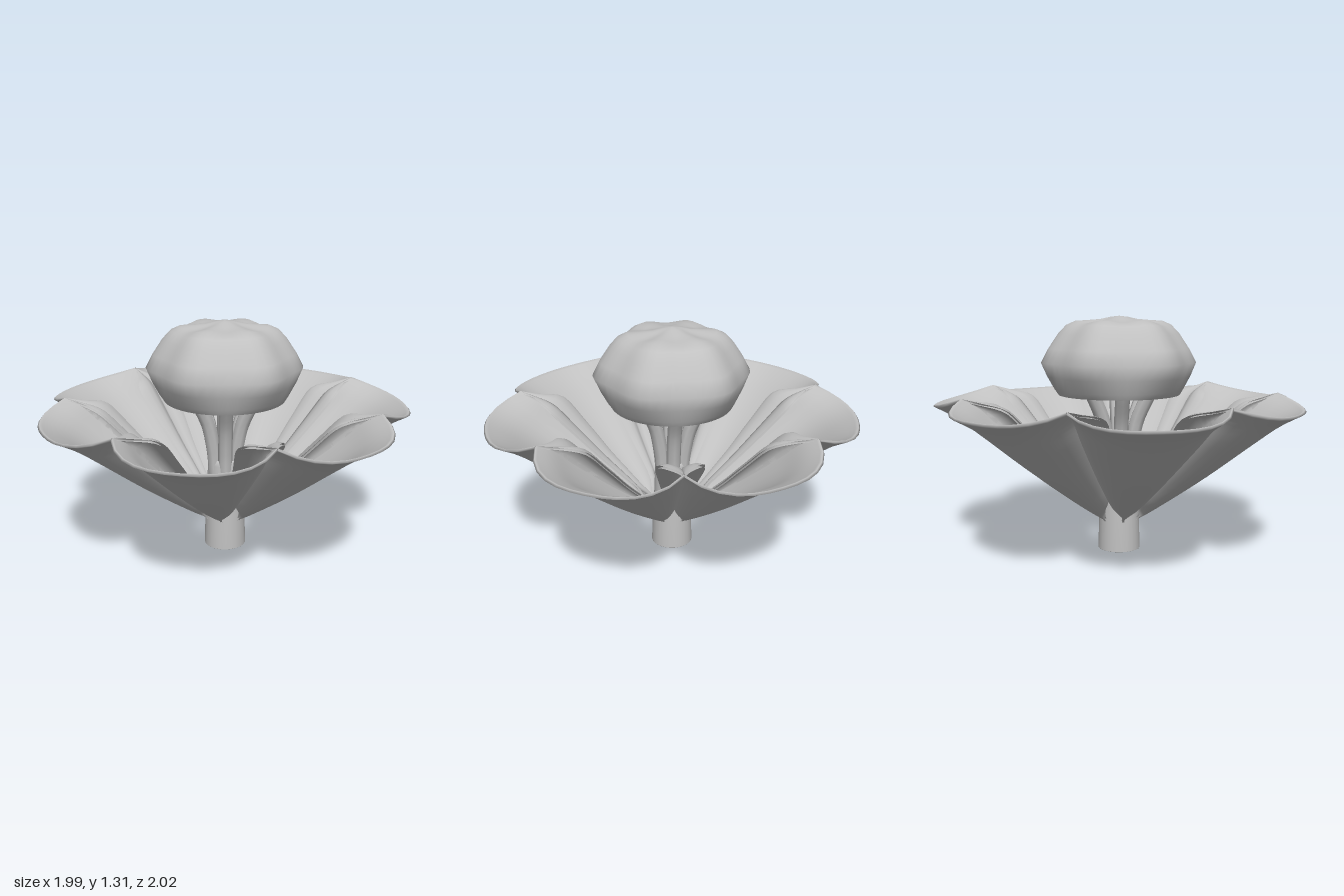
import * as THREE from 'three';

const PETALS = 7;
const HALF = Math.PI / PETALS;
const V2 = (a) => a.map(([r, y]) => new THREE.Vector2(r, y));

// Smooth surface from a grid of points; closed joins the last column to the first
function grid(cols, rows, closed, point) {
  const pos = [], index = [], n = closed ? cols : cols + 1;
  for (let j = 0; j <= rows; j++)
    for (let i = 0; i < n; i++) pos.push(...point(i, j));
  for (let j = 0; j < rows; j++)
    for (let i = 0; i < cols; i++) {
      const a = j * n + i, b = j * n + ((i + 1) % n), c = a + n, d = b + n;
      index.push(a, c, b, b, c, d);
    }
  const g = new THREE.BufferGeometry();
  g.setAttribute('position', new THREE.Float32BufferAttribute(pos, 3));
  g.setIndex(index);
  g.computeVertexNormals();
  return g;
}

// Profiles (radius, height) of a petal along its middle and along its seam
const middle = new THREE.SplineCurve(V2([[0.11, 0.17], [0.23, 0.248], [0.5, 0.442], [0.75, 0.64], [0.9, 0.755], [1.018, 0.822]]));
const seam = new THREE.SplineCurve(V2([[0.12, 0.17], [0.2, 0.29], [0.45, 0.505], [0.67, 0.705], [0.79, 0.825], [0.885, 0.88]]));
// Size of the inward-curled edge along the petal
const curlSize = new THREE.SplineCurve(V2([[0, 0], [0.2, 0.2], [0.4, 0.5], [0.6, 0.85], [0.8, 1], [0.93, 0.3], [1, 0]]));
// Curl cross-section: (offset towards the petal middle, lift off the petal)
const curl = [[0, 0.035], [0.005, 0.065], [0.04, 0.08], [0.08, 0.09], [0.115, 0.08]];
const THICKNESS = 0.013;

// Outer skin from foot to rim, then back down as the inner skin
function petalGeometry() {
  const body = 12, k = curl.length, steps = 24;
  return grid(body + 2 * k, 2 * steps + 1, false, (i, j) => {
    const inner = j > steps;
    const v = (inner ? 2 * steps + 1 - j : j) / steps;
    const c = i - k;
    const s = THREE.MathUtils.clamp((c / body) * 2 - 1, -1, 1);
    const p = middle.getPoint(v).lerp(seam.getPoint(v), Math.abs(s) ** 3);
    // Narrow claw at the foot, opening quickly to full width
    const width = 0.12 + 0.88 * THREE.MathUtils.smoothstep(v, 0.07, 0.24);
    const angle = s * HALF * 0.998 * width;
    const step = c < 0 ? -c : c - body;
    let side = 0, rise = inner ? THICKNESS : 0;
    if (step > 0) {
      const [offset, lift] = curl[step - 1];
      const size = Math.max(0, curlSize.getPoint(v).y);
      rise += lift * size;
      side = -Math.sign(s) * offset * size;
    }
    p.x -= rise * 0.67;
    p.y += rise * 0.74;
    return [
      p.x * Math.cos(angle) - side * Math.sin(angle),
      p.y,
      p.x * Math.sin(angle) + side * Math.cos(angle),
    ];
  });
}

// Rounded head, round below and six-sided above: radius, height, bump, flattening
function headGeometry() {
  const rings = [
    [0, 0.88, 0, 0], [0.335, 0.88, 0, 0], [0.337, 0.88, 0, 0], [0.358, 0.91, 0, 0.01],
    [0.397, 0.98, 0, 0.025], [0.43, 1.055, 0, 0.045], [0.39, 1.13, 0, 0.045],
    [0.335, 1.21, 0.002, 0.045], [0.29, 1.255, 0.004, 0.045], [0.24, 1.274, 0.007, 0.03],
    [0.17, 1.278, 0.007, 0.02], [0.1, 1.288, 0.003, 0], [0.05, 1.302, 0, 0], [0, 1.308, 0, 0],
  ];
  return grid(48, rings.length - 1, true, (i, j) => {
    const [r, y, bump, flat] = rings[j];
    const a = (i / 48) * Math.PI * 2, wave = Math.cos(6 * a);
    const radius = r * (1 - flat * (1 - wave));
    return [radius * Math.cos(a), y + bump * wave, radius * Math.sin(a)];
  });
}

export function createModel() {
  const model = new THREE.Group();
  model.name = 'flower';
  const grey = new THREE.MeshStandardMaterial({ color: 0xc0c0c0, side: THREE.DoubleSide });
  grey.name = 'plain grey';
  const flower = new THREE.Group();
  flower.name = 'bloom';
  flower.position.set(-0.023, 0, 0.005);
  model.add(flower);
  const add = (name, geometry) => {
    const mesh = new THREE.Mesh(geometry, grey);
    mesh.name = name;
    flower.add(mesh);
    return mesh;
  };

  // Stem and the column it becomes inside the cup
  add('stem', new THREE.LatheGeometry(
    V2([[0, 0], [0.12, 0], [0.12, 0.001], [0.113, 0.2], [0.104, 0.32], [0.096, 0.5], [0.085, 0.53], [0, 0.53]]), 24));

  // Ring of petals with curled edges
  const petal = petalGeometry();
  for (let i = 0; i < PETALS; i++) add('petal', petal).rotation.y = i * HALF * 2;

  // Filaments carrying the head
  const path = new THREE.CatmullRomCurve3(
    [[0.062, 0.44], [0.075, 0.58], [0.11, 0.74], [0.18, 0.89]].map(([r, y]) => new THREE.Vector3(r, y, 0)));
  const filament = new THREE.TubeGeometry(path, 10, 0.04, 8);
  for (let i = 0; i < 6; i++) add('filament', filament).rotation.y = ((i + 0.5) * Math.PI) / 3;

  add('head', headGeometry());
  return model;
}
